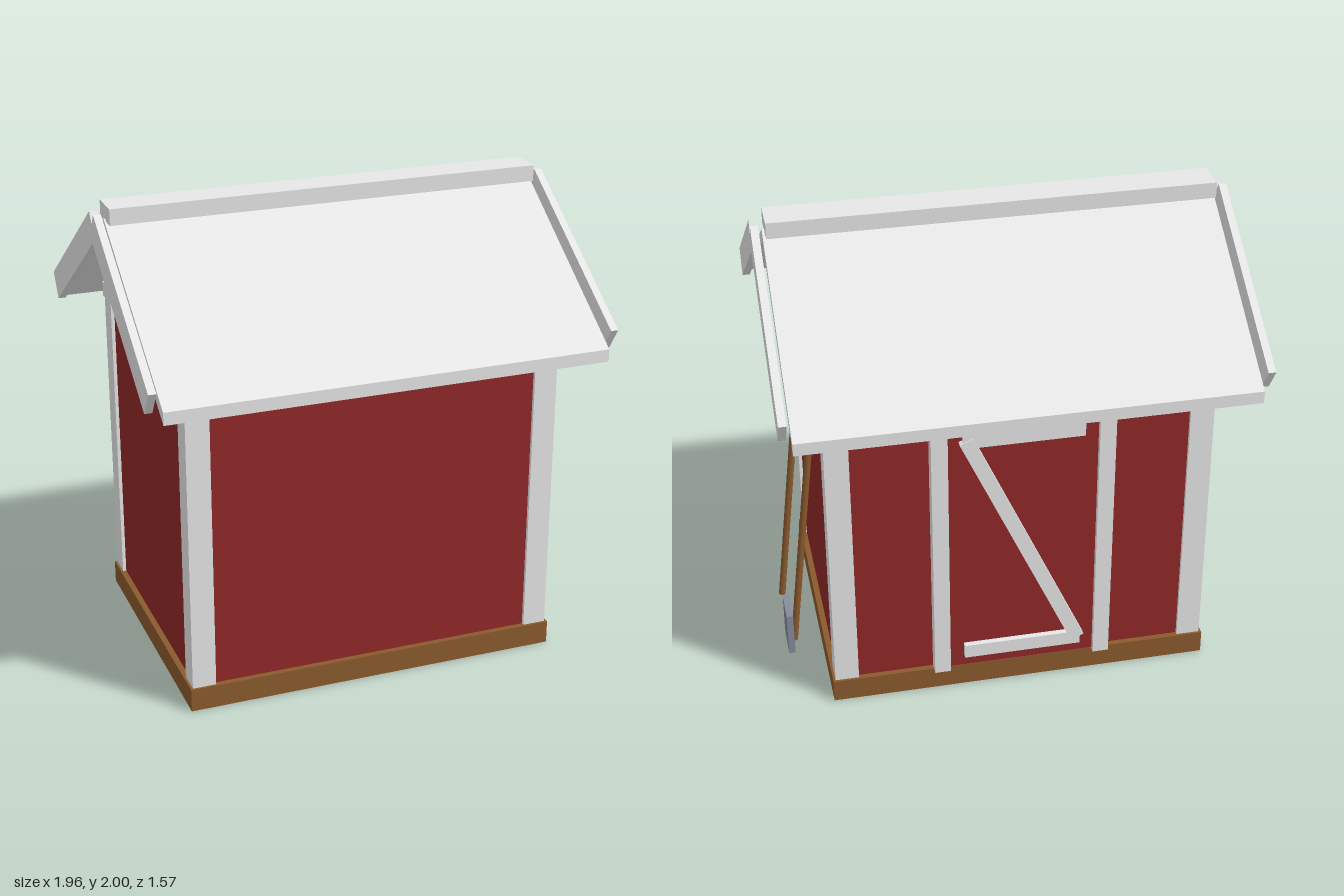
import * as THREE from 'three';

export function createModel() {
  const model = new THREE.Group();
  model.name = 'gardenShed';
  const mat = (name, color) => {
    const m = new THREE.MeshStandardMaterial({ color });
    m.name = name;
    return m;
  };
  const red = mat('barnRed', 0x922828);
  const white = mat('trimWhite', 0xeeeeee);
  const wood = mat('brownWood', 0x8b5a2e);
  const steel = mat('toolGrey', 0x858c9b);

  const add = (name, geometry, material, parent = model) => {
    const mesh = new THREE.Mesh(geometry, material);
    mesh.name = name;
    parent.add(mesh);
    return mesh;
  };
  // Box given by its minimum and maximum on each axis
  const box = (name, x0, x1, y0, y1, z0, z1, material, parent) => {
    const mesh = add(name, new THREE.BoxGeometry(x1 - x0, y1 - y0, z1 - z0), material, parent);
    mesh.position.set((x0 + x1) / 2, (y0 + y1) / 2, (z0 + z1) / 2);
    return mesh;
  };
  // Prism along x from a [z, y] outline
  const prism = (name, outline, x0, x1, material) => {
    const shape = new THREE.Shape(outline.map(([z, y]) => new THREE.Vector2(-z, y)));
    const geo = new THREE.ExtrudeGeometry(shape, { depth: x1 - x0, bevelEnabled: false });
    geo.rotateY(Math.PI / 2);
    geo.translate(x0, 0, 0);
    return add(name, geo, material);
  };

  // Floor and gabled body
  box('base', -0.81, 0.81, 0, 0.1, -0.61, 0.61, wood);
  prism('walls', [[-0.585, 0.1], [0.585, 0.1], [0.585, 1.48], [0, 1.88], [-0.585, 1.48]], -0.785, 0.785, red);

  // Corner posts and boards under the eaves
  for (const s of [-1, 1]) {
    for (const t of [-1, 1]) {
      const post = box('cornerPost', 0.7, 0.8, 0.1, 1.48, 0.5, 0.6, white);
      post.position.x *= s;
      post.position.z *= t;
    }
    const eave = box('eaveBoard', -0.8, 0.8, 1.4, 1.465, 0.59, 0.63, white);
    eave.position.z *= s;
  }

  // Roof with vertically cut eaves, and the ridge cap
  prism('roof', [
    [-0.787, 1.365], [0, 1.89], [0.787, 1.365],
    [0.787, 1.418], [0, 1.943], [-0.787, 1.418],
  ], -0.935, 0.932, white);
  box('ridgeCap', -0.928, 0.922, 1.932, 2, -0.078, 0.073, white);

  // Sloping boards at the gable ends
  const pitch = Math.atan2(0.483, 0.735);
  for (const x of [-0.968, 0.963]) {
    for (const t of [-1, 1]) {
      const rake = add('rakeBoard', new THREE.BoxGeometry(0.032, 0.122, 0.88), white);
      rake.position.set(x, 1.678, t * 0.365);
      rake.rotation.x = t * pitch;
    }
  }

  // Back door with frame and diagonal brace
  const door = new THREE.Group();
  door.name = 'door';
  model.add(door);
  box('doorPanel', -0.31, 0.31, 0.11, 1.34, -0.62, -0.57, red, door);
  for (const s of [-1, 1]) {
    box('doorPost', s * 0.345 - 0.034, s * 0.345 + 0.034, 0.1, 1.34, -0.64, -0.57, white, door);
  }
  box('doorHeader', -0.379, 0.379, 1.33, 1.4, -0.644, -0.57, white, door);
  for (const y of [0.165, 1.215]) {
    box('doorRail', -0.25, 0.25, y, y + 0.062, -0.645, -0.615, white, door);
  }
  const brace = add('doorBrace', new THREE.BoxGeometry(0.06, 1.15, 0.034), white, door);
  brace.position.set(0, 0.725, -0.633);
  brace.rotation.z = -Math.atan2(0.48, 1.06);

  // Tools leaning on the left gable wall
  const handle = (name, from, to, parent) => {
    const a = new THREE.Vector3(...from);
    const d = new THREE.Vector3(...to).sub(a);
    const rod = add(name, new THREE.CylinderGeometry(0.015, 0.015, d.length(), 8), wood, parent);
    rod.position.copy(a).addScaledVector(d, 0.5);
    rod.quaternion.setFromUnitVectors(new THREE.Vector3(0, 1, 0), d.normalize());
  };
  const rakeTool = new THREE.Group();
  rakeTool.name = 'rake';
  const shovel = new THREE.Group();
  shovel.name = 'shovel';
  model.add(rakeTool, shovel);
  handle('rakeHandle', [0.945, 0.018, 0.16], [0.812, 1.142, 0.193], rakeTool);
  box('rakeHead', 0.798, 0.832, 1.165, 1.2, 0.025, 0.355, steel, rakeTool);
  handle('shovelHandle', [0.93, 0.03, -0.197], [0.808, 1.063, -0.17], shovel);
  box('shovelBlade', 0.935, 0.963, 0.012, 0.212, -0.27, -0.118, steel, shovel);

  return model;
}
